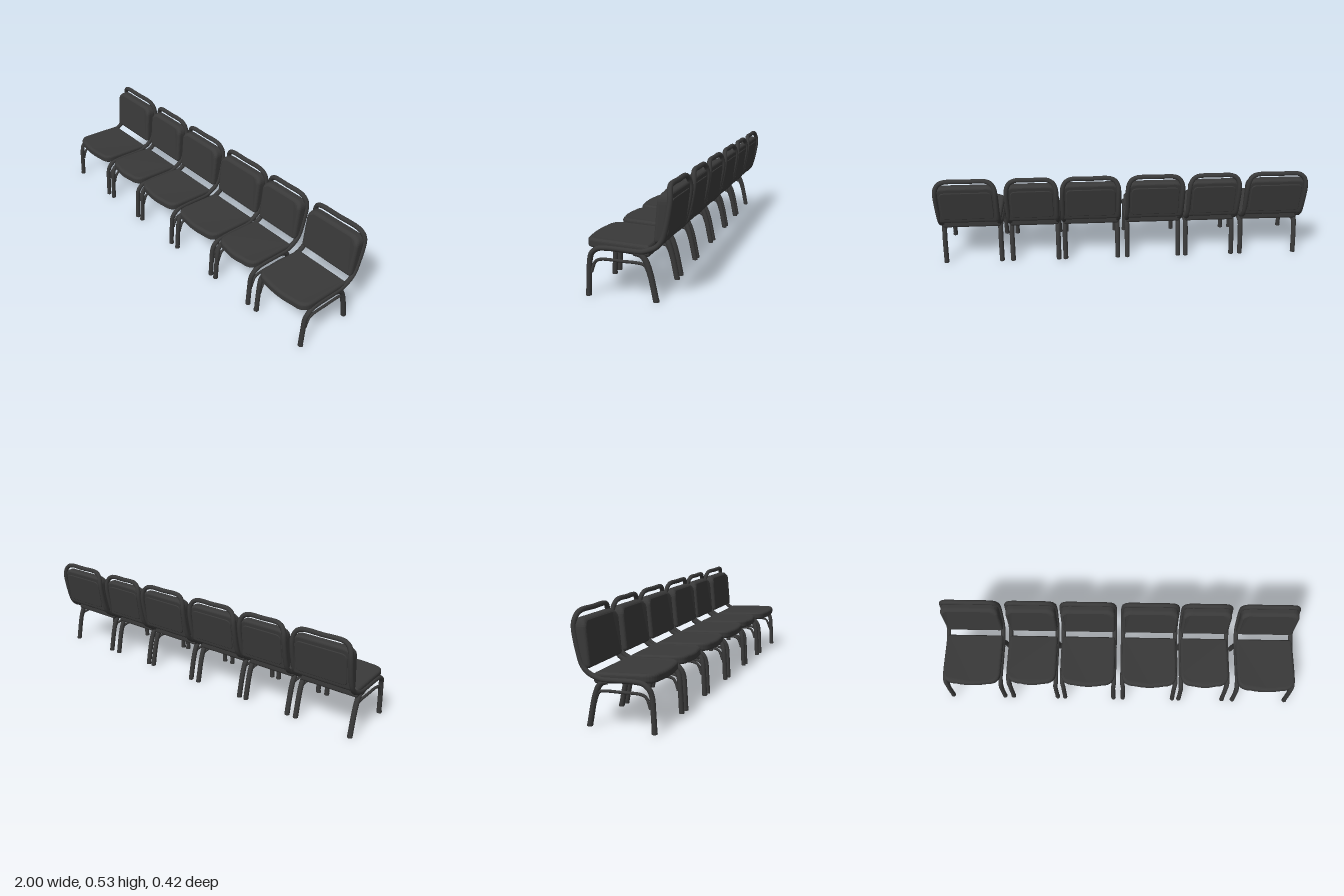
import * as THREE from 'three';

const frameMat = new THREE.MeshStandardMaterial({ color: 0x393939 });
frameMat.name = 'charcoal';

const lerp = THREE.MathUtils.lerp;

function add(group, geometry, name) {
  const mesh = new THREE.Mesh(geometry, frameMat);
  mesh.name = name;
  group.add(mesh);
  return mesh;
}

function tube(points, radius, segments) {
  const curve = new THREE.CatmullRomCurve3(points, false, 'centripetal');
  return new THREE.TubeGeometry(curve, segments, radius, 10);
}

// Path in the side plane, given as [z, y] pairs, placed at a fixed x
const sidePath = (x, pairs) => pairs.map(([z, y]) => new THREE.Vector3(x, y, z));

// Rectangle with separate corner radii for the low (r0) and high (r1) ends
function panelShape(h, y0, y1, r0, r1, bow = 0) {
  const s = new THREE.Shape();
  s.moveTo(-h + r0, y0);
  s.lineTo(h - r0, y0);
  s.quadraticCurveTo(h, y0, h, y0 + r0);
  s.lineTo(h, y1 - r1);
  s.quadraticCurveTo(h, y1 - bow, h - r1, y1 - bow);
  s.quadraticCurveTo(0, y1 + bow, -h + r1, y1 - bow);
  s.quadraticCurveTo(-h, y1 - bow, -h, y1 - r1);
  s.lineTo(-h, y0 + r0);
  s.quadraticCurveTo(-h, y0, -h + r0, y0);
  return s;
}

// Padded slab of unit depth range 0..1 (z), with a soft bevelled rim
function padGeometry(shape, bevel, thickness) {
  const g = new THREE.ExtrudeGeometry(shape, {
    depth: thickness - 2 * bevel, bevelEnabled: true, bevelThickness: bevel,
    bevelSize: bevel, bevelOffset: -bevel, bevelSegments: 4, curveSegments: 8,
  });
  g.translate(0, 0, bevel);
  g.scale(1, 1, 1 / thickness);
  return g;
}

function moveVertices(g, rule) {
  const p = g.attributes.position;
  for (let i = 0; i < p.count; i++) p.setXYZ(i, ...rule(p.getX(i), p.getY(i), p.getZ(i)));
  g.computeVertexNormals();
  return g;
}

function makeChair(cx, half, front) {
  const chair = new THREE.Group();
  chair.name = 'chair';
  chair.position.x = cx;
  const w = half - 0.013;

  // Seat cushion: slopes down to the back and thins towards the front
  const seat = padGeometry(panelShape(half - 0.009, -0.1, front, 0.012, 0.075, 0.008), 0.014, 0.05);
  seat.rotateX(Math.PI / 2);
  add(chair, moveVertices(seat, (x, y, z) => {
    const t = (z + 0.1) / (front + 0.1);
    const nose = 0.006 * Math.max(0, t - 0.85) / 0.15;
    return [x, lerp(lerp(0.25, 0.198, -y), lerp(0.266, 0.224, -y), t) - nose, z];
  }), 'seat');

  // Backrest cushion and rear panel: lean back with height
  const back = padGeometry(panelShape(half - 0.009, 0.263, 0.487, 0.02, 0.05), 0.014, 0.05);
  add(chair, moveVertices(back, (x, y, z) => {
    const t = (y - 0.263) / 0.224;
    const crown = 0.02 * Math.max(0, t - 0.85) / 0.15;
    return [x, y - 0.02 * (1 - z) * Math.max(0, t - 0.8), lerp(lerp(-0.168, -0.198, t), lerp(-0.117, -0.137, t) - crown * 0.6, z)];
  }), 'backrest');
  const panel = padGeometry(panelShape(half - 0.032, 0.29, 0.455, 0.02, 0.03), 0.004, 0.012);
  add(chair, moveVertices(panel, (x, y, z) => {
    const t = (y - 0.263) / 0.224;
    return [x, y, lerp(-0.168, -0.198, t) - 0.005 + z * 0.012];
  }), 'backPanel');

  // Continuous frame: front leg, seat rail, back upright and half the top handle
  const halfFrame = (s) => [
    ...sidePath(s * (w - 0.004), [[0.19, 0.002], [0.185, 0.1], [0.179, 0.17]]),
    ...sidePath(s * w, [[0.168, 0.2], [0.14, 0.221], [0.1, 0.226], [0, 0.223], [-0.06, 0.222],
      [-0.095, 0.231], [-0.13, 0.248], [-0.155, 0.277], [-0.17, 0.32], [-0.193, 0.44]]),
    new THREE.Vector3(s * (w - 0.004), 0.472, -0.192),
    new THREE.Vector3(s * (w - 0.018), 0.499, -0.187),
    new THREE.Vector3(s * (w - 0.045), 0.513, -0.183),
  ];
  const path = [...halfFrame(-1), new THREE.Vector3(0, 0.514, -0.182), ...halfFrame(1).reverse()];
  add(chair, tube(path, 0.0125, 150), 'frame');

  for (const s of [-1, 1]) {
    const x = s * (w - 0.003);
    // Splayed back leg
    add(chair, tube(sidePath(x, [[-0.03, 0.214], [-0.06, 0.207], [-0.08, 0.184], [-0.094, 0.15],
      [-0.105, 0.11], [-0.127, 0.002]]), 0.0135, 24), 'backLeg');
    // Bent side stretcher that braces both legs
    add(chair, tube(sidePath(x, [[0.172, 0.11], [0.163, 0.14], [0.15, 0.163], [0.125, 0.172],
      [0.03, 0.171], [-0.05, 0.169], [-0.075, 0.163], [-0.088, 0.14], [-0.097, 0.11]]), 0.007, 30), 'stretcher');
    // Feet
    for (const z of [0.19, -0.127]) {
      const foot = add(chair, new THREE.CylinderGeometry(0.0135, 0.0135, 0.01, 12), 'foot');
      foot.position.set(s * (w - 0.003), 0.005, z);
    }
  }
  return chair;
}

export function createModel() {
  const model = new THREE.Group();
  model.name = 'chairRow';
  // Centre, half width and seat front of each chair
  const row = [
    [-0.828, 0.17, 0.2], [-0.492, 0.147, 0.193], [-0.174, 0.16, 0.198],
    [0.171, 0.163, 0.198], [0.484, 0.144, 0.193], [0.828, 0.17, 0.212],
  ];
  for (const [x, half, front] of row) model.add(makeChair(x, half, front));
  return model;
}
